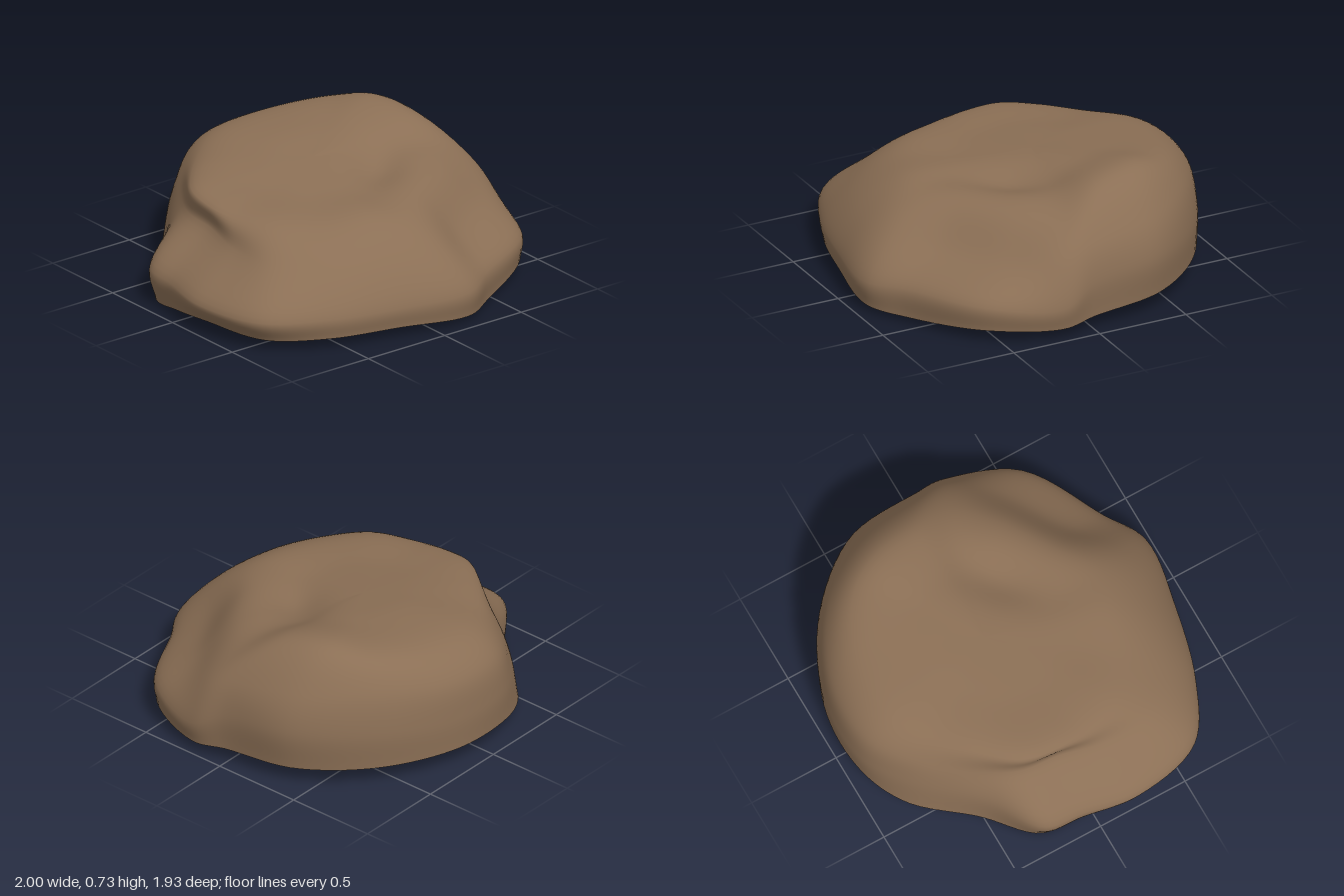
import * as THREE from 'three';
import { mergeVertices } from 'three/addons/utils/BufferGeometryUtils.js';

// Cross-section loops as x, y, z triples, from the front corner clockwise seen from above
const foot = [
  0.2, 0.035, 0.94, -0.2, 0.06, 0.89, -0.59, 0.06, 0.78, -0.86, 0.06, 0.59, -0.94, 0.06, 0.2,
  -0.91, 0.02, -0.08, -0.88, 0, -0.29, -0.66, 0.035, -0.52, -0.41, 0.07, -0.82, -0.15, 0.11, -0.945,
  0.22, 0.115, -0.94, 0.62, 0.11, -0.74, 0.89, 0.1, -0.4, 0.95, 0.08, 0, 0.98, 0.06, 0.2,
  0.83, 0.07, 0.57, 0.42, 0.03, 0.82];
const bulge = [
  0.2, 0.17, 0.95, -0.2, 0.17, 0.9, -0.6, 0.17, 0.79, -0.9, 0.17, 0.61, -1, 0.17, 0.22,
  -0.95, 0.18, -0.08, -0.92, 0.19, -0.29, -0.66, 0.24, -0.49, -0.39, 0.3, -0.79, -0.15, 0.3, -0.945,
  0.22, 0.3, -0.94, 0.62, 0.32, -0.75, 0.91, 0.32, -0.4, 0.96, 0.28, 0, 0.995, 0.18, 0.2,
  0.84, 0.2, 0.57, 0.42, 0.19, 0.82];
const shoulder = [
  0.14, 0.38, 0.79, -0.2, 0.38, 0.77, -0.52, 0.38, 0.65, -0.72, 0.39, 0.46, -0.74, 0.4, 0.18,
  -0.69, 0.425, -0.08, -0.67, 0.43, -0.28, -0.58, 0.43, -0.46, -0.39, 0.46, -0.71, -0.14, 0.49, -0.9,
  0.22, 0.5, -0.9, 0.6, 0.54, -0.7, 0.84, 0.52, -0.4, 0.9, 0.47, -0.02, 0.89, 0.42, 0.17,
  0.7, 0.37, 0.4, 0.39, 0.36, 0.6];
const crest = [
  0.06, 0.53, 0.58, -0.15, 0.54, 0.55, -0.4, 0.52, 0.46, -0.58, 0.53, 0.3, -0.67, 0.53, 0.08,
  -0.69, 0.54, -0.08, -0.66, 0.56, -0.27, -0.53, 0.57, -0.44, -0.34, 0.58, -0.61, -0.1, 0.61, -0.76,
  0.25, 0.64, -0.74, 0.52, 0.68, -0.6, 0.64, 0.72, -0.4, 0.68, 0.69, -0.15, 0.7, 0.58, 0.08,
  0.54, 0.56, 0.26, 0.29, 0.55, 0.43];

const AROUND = 120, UP = 40;
const centre = new THREE.Vector3(0, 0.625, -0.12);

function toPoints(values) {
  const points = [];
  for (let i = 0; i < values.length; i += 3) points.push(new THREE.Vector3(...values.slice(i, i + 3)));
  return points;
}

// Valley between the plateau and the front ridge
function valley(x, z) {
  const along = (x - 0.26) * 0.7 - (z - 0.1) * 0.7;
  const across = (x - 0.26) * 0.7 + (z - 0.1) * 0.7;
  return 0.06 * Math.exp(-((along / 0.27) ** 2) - (across / 0.14) ** 2);
}

function rockGeometry() {
  const loops = [foot, bulge, shoulder, crest].map(toPoints);
  // Plateau loop, halfway between the crest and the centre, near a tilted plane
  loops.push(loops[3].map((p) => {
    const q = p.clone().lerp(centre, 0.5);
    const plane = centre.y + 0.11 * q.x - 0.13 * (q.z - centre.z);
    q.y = plane * 0.7 + q.y * 0.3;
    return q;
  }));
  const rings = loops.map((l) => new THREE.CatmullRomCurve3(l, true, 'centripetal'));

  const positions = [], index = [];
  for (let i = 0; i < AROUND; i++) {
    const column = rings.map((r) => r.getPoint(i / AROUND));
    const curve = new THREE.CatmullRomCurve3([...column, centre], false, 'centripetal');
    for (let j = 0; j <= UP; j++) {
      const p = curve.getPoint(j / UP);
      if (p.y > 0.45) p.y -= valley(p.x, p.z);
      positions.push(p.x, Math.max(0, p.y), p.z);
    }
  }
  const at = (i, j) => (i % AROUND) * (UP + 1) + j;
  for (let i = 0; i < AROUND; i++) {
    for (let j = 0; j < UP; j++) {
      const a = at(i, j), b = at(i + 1, j), c = at(i + 1, j + 1), d = at(i, j + 1);
      index.push(a, d, b);
      if (j < UP - 1) index.push(b, d, c);
    }
  }
  let geometry = new THREE.BufferGeometry();
  geometry.setAttribute('position', new THREE.Float32BufferAttribute(positions, 3));
  geometry.setIndex(index);
  geometry = mergeVertices(geometry, 1e-5);
  geometry.computeVertexNormals();
  return geometry;
}

export function createModel() {
  const stone = new THREE.MeshStandardMaterial({ color: 0x8b6f55, side: THREE.DoubleSide });
  stone.name = 'brown stone';

  // Hollow boulder shell, open underneath
  const rock = new THREE.Mesh(rockGeometry(), stone);
  rock.name = 'rock';

  const group = new THREE.Group();
  group.name = 'boulder';
  group.add(rock);
  return group;
}
